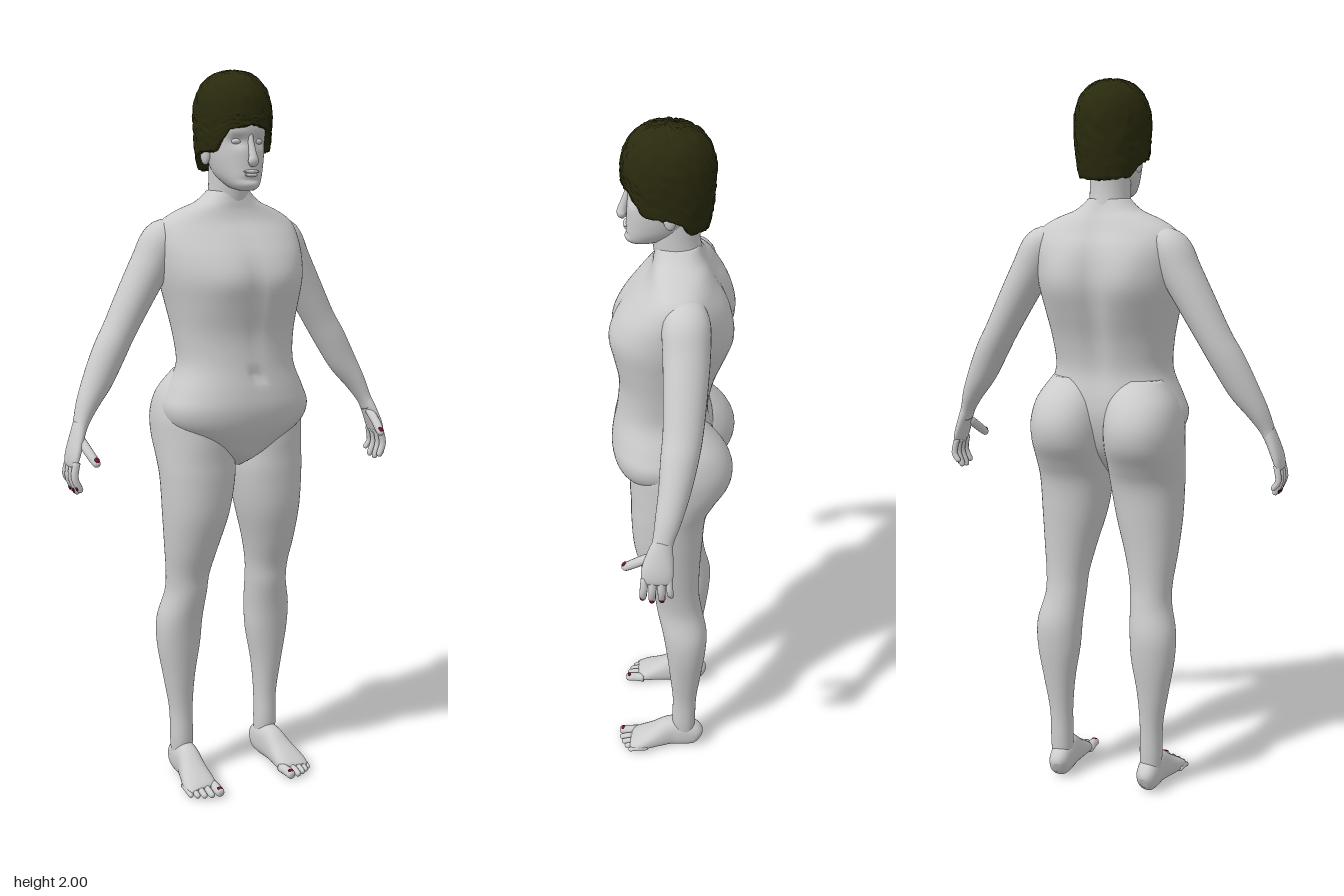
import * as THREE from 'three';

const skin = new THREE.MeshStandardMaterial({ color: 0xcccccc });
skin.name = 'skin';
const hair = new THREE.MeshStandardMaterial({ color: 0x2a2a0e, side: THREE.DoubleSide });
hair.name = 'hair';
const nail = new THREE.MeshStandardMaterial({ color: 0x6b0f2a });
nail.name = 'nail';

const bump = (d, s) => Math.exp(-((d / s) ** 2));
const power = (v, e) => Math.sign(v) * Math.abs(v) ** e;

// Smooth (Catmull-Rom) interpolation of rows of numbers
function sample(keys, steps) {
  const out = [], last = keys.length - 1;
  for (let i = 0; i < last; i++) {
    const [p, a, b, q] = [keys[Math.max(i - 1, 0)], keys[i], keys[i + 1], keys[Math.min(i + 2, last)]];
    for (let s = 0; s < steps; s++) {
      const t = s / steps;
      out.push(a.map((v, k) => v + 0.5 * t * (b[k] - p[k] + t * (2 * p[k] - 5 * v + 4 * b[k] - q[k]
        + t * (3 * (v - b[k]) + q[k] - p[k])))));
    }
  }
  out.push(keys[last]);
  return out;
}

// Skin closed rings of Vector3 into a smooth capped surface
function skinRings(rings) {
  const n = rings[0].length, pos = [], idx = [];
  rings.forEach(r => r.forEach(p => pos.push(p.x, p.y, p.z)));
  for (let i = 0; i < rings.length - 1; i++) {
    for (let j = 0; j < n; j++) {
      const a = i * n + j, b = i * n + (j + 1) % n;
      idx.push(a, b, a + n, b, b + n, a + n);
    }
  }
  [rings[0], rings[rings.length - 1]].forEach((r, end) => {
    const c = r.reduce((s, p) => s.add(p), new THREE.Vector3()).divideScalar(n);
    const m = pos.length / 3, base = end ? (rings.length - 1) * n : 0;
    pos.push(c.x, c.y, c.z);
    for (let j = 0; j < n; j++) {
      const a = base + j, b = base + (j + 1) % n;
      if (end) idx.push(m, a, b); else idx.push(m, b, a);
    }
  });
  const g = new THREE.BufferGeometry();
  g.setAttribute('position', new THREE.Float32BufferAttribute(pos, 3));
  g.setIndex(idx);
  g.computeVertexNormals();
  return g;
}

// Horizontal slices from the bottom up: [y, xMin, xMax, zFront, zBack]
function slices(keys, n, e = 1, shape = null, steps = 5) {
  return skinRings(sample(keys, steps).map(([y, x0, x1, zf, zb]) =>
    Array.from({ length: n }, (_, j) => {
      const a = j / n * Math.PI * 2;
      const p = new THREE.Vector3((x0 + x1) / 2 + Math.abs(x1 - x0) / 2 * power(Math.cos(a), e), y,
        (zf + zb) / 2 - (zf - zb) / 2 * power(Math.sin(a), e));
      if (shape) shape(p);
      return p;
    })));
}

// Limb along a path: [x, y, z, radius across, radius along ref]
function limb(keys, n, ref = new THREE.Vector3(0, 0, 1), e = 1, steps = 5) {
  const s = sample(keys, steps), pts = s.map(k => new THREE.Vector3(k[0], k[1], k[2]));
  return skinRings(s.map((k, i) => {
    const T = pts[Math.min(i + 1, pts.length - 1)].clone().sub(pts[Math.max(i - 1, 0)]).normalize();
    const V = ref.clone().addScaledVector(T, -ref.dot(T)).normalize();
    const U = V.clone().cross(T);
    return Array.from({ length: n }, (_, j) => {
      const a = j / n * Math.PI * 2;
      return pts[i].clone().addScaledVector(U, k[3] * power(Math.cos(a), e))
        .addScaledVector(V, k[4] * power(Math.sin(a), e));
    });
  }));
}

const flip = (keys, s) => keys.map(k => [k[0] * s, ...k.slice(1)]);
const UP = new THREE.Vector3(0, 1, 0);

// Finger or toe: rounded tapering tube through three points
function digit(a, b, c, r, ref) {
  const mix = (p, q, t) => p.map((v, i) => v + (q[i] - v) * t);
  return limb([[...a, r, r], [...b, r, r], [...mix(b, c, 0.75), r * 0.9, r * 0.9],
    [...mix(b, c, 0.95), r * 0.6, r * 0.6], [...c, r * 0.15, r * 0.15]], 12, ref, 1, 3);
}

function hairGeometry() {
  // Lower hairline height by angle from the front
  const line = [[0, 1.852], [35, 1.842], [60, 1.787], [90, 1.785], [108, 1.775], [125, 1.74], [180, 1.733]];
  const edge = deg => {
    const i = Math.max(1, line.findIndex(l => l[0] >= deg));
    const [a, b] = [line[i - 1], line[i]];
    return a[1] + (b[1] - a[1]) * (deg - a[0]) / (b[0] - a[0]);
  };
  const noise = (i, j) => { const v = Math.sin(i * 12.99 + j * 78.23) * 43758.55; return v - Math.floor(v) - 0.5; };
  const rings = [], n = 72, dome = 16, wall = 14;
  for (let i = 1; i <= dome + wall + 1; i++) {
    rings.push(Array.from({ length: n }, (_, j) => {
      const a = j / n * Math.PI * 2;
      const deg = Math.min(180, Math.abs(Math.atan2(Math.cos(a), Math.sin(a))) * 180 / Math.PI);
      let y, k;
      if (i <= dome) {
        const q = i / dome * Math.PI / 2;
        y = 1.88 + 0.118 * Math.cos(q) ** 0.9;
        k = Math.sin(q) ** 0.85;
      } else {
        const t = Math.min(1, (i - dome) / wall);
        y = 1.88 + (edge(deg) - 1.88) * t;
        k = 1 - 0.12 * ((1.88 - y) / 0.14) ** 2;
        if (i > dome + wall) k *= 0.8;
      }
      k *= 1 + 0.045 * noise(i, j);
      return new THREE.Vector3(0.103 * k * Math.cos(a), y + 0.005 * noise(j, i), 0.012 + 0.118 * k * Math.sin(a));
    }));
  }
  return skinRings(rings);
}

export function createModel() {
  const model = new THREE.Group();
  model.name = 'figure';
  const add = (name, geo, mat = skin) => {
    const m = new THREE.Mesh(geo, mat);
    m.name = name;
    model.add(m);
    return m;
  };
  const blob = (name, p, r, mat = skin) => {
    const m = add(name, new THREE.SphereGeometry(1, 16, 12), mat);
    m.position.set(...p);
    m.scale.set(...r);
    return m;
  };

  // Torso: half widths and depths, then chest, navel, spine and shoulder blades
  const torso = [[0.93, 0.015, 0.05, -0.02], [0.96, 0.05, 0.105, -0.05], [1.0, 0.12, 0.132, -0.08],
    [1.05, 0.192, 0.158, -0.1], [1.1, 0.212, 0.169, -0.11], [1.15, 0.195, 0.165, -0.108], [1.22, 0.167, 0.152, -0.098],
    [1.3, 0.172, 0.146, -0.112], [1.38, 0.187, 0.158, -0.138], [1.45, 0.202, 0.163, -0.155], [1.51, 0.208, 0.142, -0.152],
    [1.56, 0.208, 0.105, -0.138], [1.6, 0.195, 0.07, -0.115], [1.63, 0.15, 0.055, -0.098], [1.655, 0.09, 0.05, -0.083],
    [1.685, 0.055, 0.045, -0.07]];
  add('torso', slices(torso.map(([y, w, f, b]) => [y, -w, w, f, b]), 72, 0.88, p => {
    const ax = Math.abs(p.x);
    if (p.z > 0.03) {
      p.z += 0.008 * bump(ax - 0.085, 0.06) * bump(p.y - 1.45, 0.06);
      p.z -= 0.006 * bump(p.x, 0.018) * bump(p.y - 1.4, 0.15);
      p.z -= 0.016 * bump(p.x, 0.012) * bump(p.y - 1.195, 0.014);
    } else if (p.z < -0.03) {
      p.z += 0.02 * bump(p.x, 0.03) * bump(p.y - 1.42, 0.2);
      p.z -= 0.014 * bump(ax - 0.1, 0.055) * bump(p.y - 1.47, 0.09);
    }
  }));

  // Neck and head
  add('neck', slices([[1.6, -0.062, 0.062, 0.04, -0.08], [1.66, -0.057, 0.057, 0.05, -0.074],
    [1.71, -0.055, 0.055, 0.056, -0.067], [1.79, -0.055, 0.055, 0.06, -0.068]], 32));
  const head = [[1.685, 0.02, 0.11, 0.07], [1.692, 0.034, 0.12, 0.035], [1.705, 0.046, 0.124, 0.005],
    [1.73, 0.06, 0.12, -0.035], [1.77, 0.071, 0.117, -0.06], [1.81, 0.076, 0.115, -0.075],
    [1.86, 0.079, 0.119, -0.08], [1.92, 0.07, 0.1, -0.07], [1.96, 0.03, 0.05, -0.03]];
  add('head', slices(head.map(([y, w, f, b]) => [y, -w, w, f, b]), 56, 0.95, p => {
    if (p.z < 0.05) return;
    const ax = Math.abs(p.x);
    p.z -= 0.014 * bump(ax - 0.032, 0.018) * bump(p.y - 1.812, 0.014);
    p.z += 0.005 * bump(ax - 0.03, 0.025) * bump(p.y - 1.836, 0.01);
    p.z -= 0.006 * bump(p.x, 0.03) * bump(p.y - 1.712, 0.007);
  }));
  add('nose', limb([[0, 1.83, 0.112, 0.007, 0.006], [0, 1.805, 0.117, 0.008, 0.009], [0, 1.775, 0.126, 0.011, 0.012],
    [0, 1.76, 0.129, 0.015, 0.013], [0, 1.75, 0.123, 0.009, 0.008]], 16));
  blob('upperLip', [0, 1.734, 0.118], [0.024, 0.005, 0.009]);
  blob('lowerLip', [0, 1.725, 0.116], [0.02, 0.005, 0.009]);
  add('hair', hairGeometry(), hair);

  for (const s of [1, -1]) {
    const side = s > 0 ? 'left' : 'right';
    const mir = p => [p[0] * s, p[1], p[2]];
    blob(side + 'Eye', [0.032 * s, 1.812, 0.093], [0.014, 0.008, 0.01]);
    blob(side + 'Ear', [0.078 * s, 1.782, 0.005], [0.01, 0.03, 0.017]).rotation.y = -0.3 * s;

    // Leg with buttock
    const leg = [[0.02, 0.115, 0.165, -0.02, -0.07], [0.1, 0.108, 0.172, -0.005, -0.075], [0.2, 0.108, 0.174, -0.006, -0.078],
      [0.3, 0.1, 0.19, 0.002, -0.09], [0.4, 0.083, 0.207, 0.012, -0.103], [0.48, 0.078, 0.208, 0.023, -0.106],
      [0.56, 0.073, 0.189, 0.04, -0.09], [0.62, 0.068, 0.189, 0.05, -0.082], [0.7, 0.05, 0.198, 0.078, -0.082],
      [0.8, 0.022, 0.207, 0.105, -0.088], [0.9, 0.004, 0.212, 0.112, -0.098], [0.96, 0.001, 0.215, 0.112, -0.125],
      [1.02, 0.001, 0.217, 0.114, -0.16], [1.08, 0.002, 0.216, 0.11, -0.166], [1.14, 0.01, 0.2, 0.08, -0.14],
      [1.2, 0.03, 0.16, 0.04, -0.085]];
    add(side + 'Leg', slices(leg.map(([y, a, b, f, k]) => [y, a * s, b * s, f, k]), 48, 0.94));

    // Foot and toes
    add(side + 'Foot', limb(flip([[0.135, 0.034, -0.092, 0.012, 0.018], [0.137, 0.04, -0.078, 0.028, 0.038],
      [0.138, 0.05, -0.04, 0.034, 0.05], [0.14, 0.051, 0, 0.034, 0.051], [0.146, 0.037, 0.045, 0.04, 0.037],
      [0.151, 0.024, 0.09, 0.047, 0.024], [0.153, 0.017, 0.115, 0.044, 0.016], [0.153, 0.015, 0.125, 0.034, 0.01]], s),
    32, UP, 0.85));
    [[0.117, 0.165, 0.014], [0.142, 0.162, 0.0095], [0.161, 0.154, 0.009], [0.178, 0.144, 0.0085], [0.193, 0.131, 0.008]]
      .forEach(([x, z, r]) => {
        add(side + 'Toe', digit(mir([x - 0.003, 0.017, z - 0.06]), mir([x, 0.017, z - 0.03]), mir([x, r, z]), r, UP));
        blob(side + 'Toenail', [x * s, r * 1.85, z - 0.01], [r * 0.6, 0.003, 0.007], nail).rotation.x = 0.35;
      });

    // Arm
    add(side + 'Arm', limb(flip([[0.14, 1.59, -0.04, 0.025, 0.04], [0.185, 1.557, -0.042, 0.052, 0.06],
      [0.22, 1.49, -0.045, 0.054, 0.06], [0.265, 1.41, -0.045, 0.05, 0.056], [0.315, 1.32, -0.042, 0.045, 0.051],
      [0.35, 1.26, -0.035, 0.045, 0.048], [0.388, 1.19, -0.025, 0.041, 0.041], [0.425, 1.13, -0.012, 0.03, 0.034],
      [0.45, 1.08, 0, 0.02, 0.027], [0.462, 1.05, 0.006, 0.017, 0.03]], s), 32));

    // Hand, fingers and thumb
    add(side + 'Palm', limb(flip([[0.452, 1.08, 0, 0.018, 0.025], [0.465, 1.045, 0.007, 0.017, 0.034],
      [0.479, 1.005, 0.013, 0.015, 0.041], [0.486, 0.978, 0.014, 0.011, 0.039], [0.488, 0.968, 0.014, 0.005, 0.03]], s), 24));
    [[0.045, 0.052, 0.905], [0.024, 0.028, 0.896], [0.003, 0.002, 0.899], [-0.017, -0.022, 0.917]].forEach(([z0, z1, y], i) => {
      const r = i === 3 ? 0.0085 : 0.01;
      add(side + 'Finger', digit(mir([0.482, 0.985, z0]), mir([0.49, 0.945, (z0 + z1) / 2]), mir([0.474, y, z1]), r));
      blob(side + 'Fingernail', [0.487 * s, y + 0.013, z1], [0.003, 0.009, r * 0.6], nail).rotation.z = -0.3 * s;
    });
    add(side + 'Thumb', digit(mir([0.46, 1.04, 0.02]), mir([0.455, 1.015, 0.06]), mir([0.446, 0.983, 0.105]), 0.0125, UP));
    blob(side + 'Thumbnail', [0.447 * s, 0.998, 0.1], [0.007, 0.004, 0.009], nail).rotation.x = 0.7;
  }
  return model;
}
